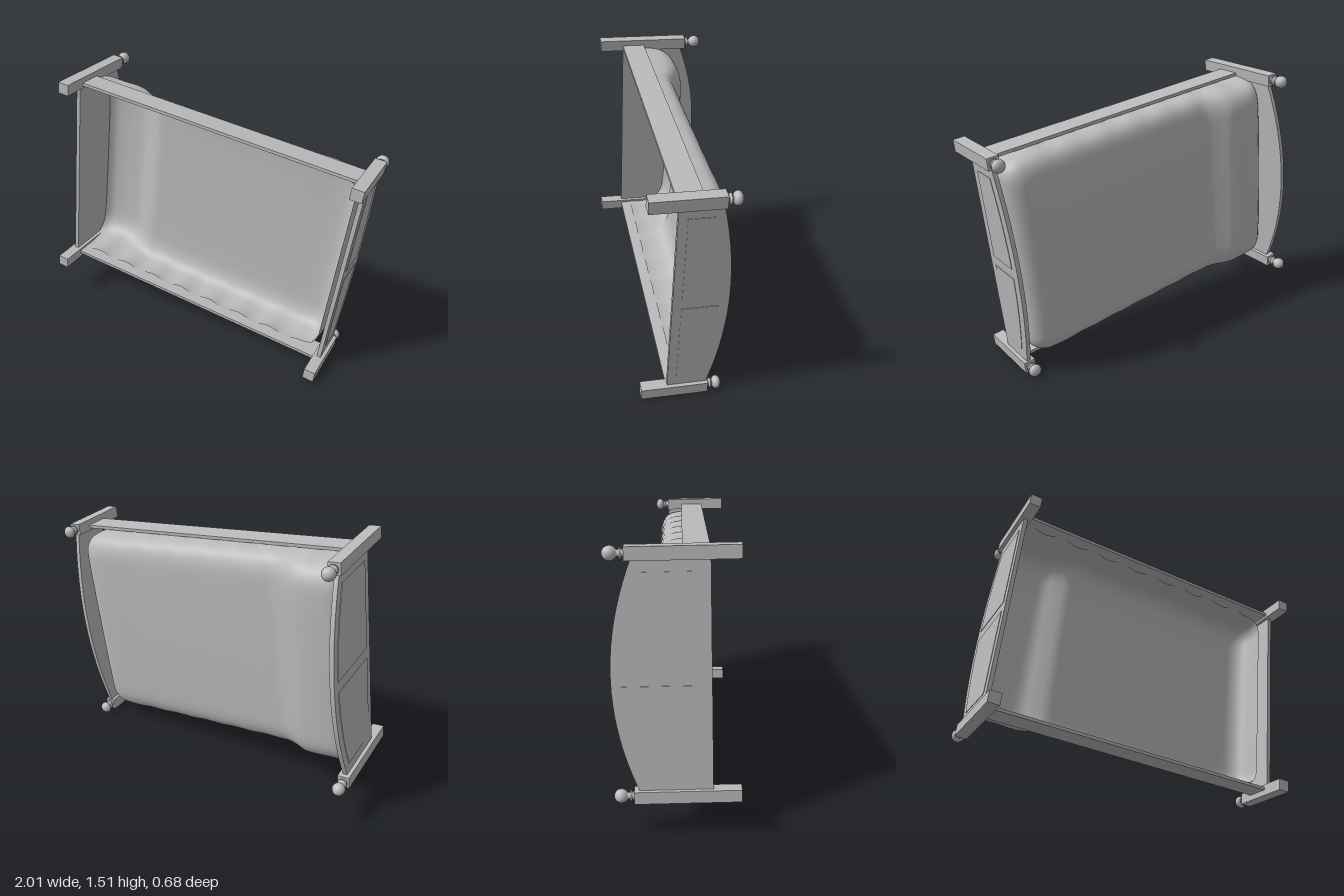
import * as THREE from 'three';

// Bed built in its own frame (x = length towards foot, y = up, z = width), then tipped over.
export function createModel() {
  const model = new THREE.Group();
  model.name = 'bed';
  const grey = new THREE.MeshStandardMaterial({ color: 0xbbbbbb });
  grey.name = 'plain grey';
  const cloth = new THREE.MeshStandardMaterial({ color: 0xbbbbbb, side: THREE.DoubleSide });
  cloth.name = 'cloth grey';

  const bed = new THREE.Group();
  bed.name = 'bedBody';
  model.add(bed);
  const add = (geo, name, x = 0, y = 0, z = 0, mat = grey) => {
    const m = new THREE.Mesh(geo, mat);
    m.name = name;
    m.position.set(x, y, z);
    bed.add(m);
    return m;
  };

  const X = 0.88, Z = 0.62, POST = 0.066;

  // Turned finial: neck, ring and ball
  const finial = (ballY, ry) => {
    const pts = [[0.022, -0.005], [0.022, 0.006], [0.016, 0.01], [0.027, 0.014], [0.027, 0.021], [0.014, 0.026]]
      .map(([r, y]) => new THREE.Vector2(r, y));
    for (let i = 2; i <= 12; i++) {
      const a = -Math.PI / 2 + (i / 12) * Math.PI;
      pts.push(new THREE.Vector2(Math.max(0, 0.036 * Math.cos(a)), ballY + ry * Math.sin(a)));
    }
    return new THREE.LatheGeometry(pts, 20);
  };

  // Posts with finials
  const ends = [
    { name: 'head', x: -X, h: 0.542, ballY: 0.066, ry: 0.036, edge: 0.51, peak: 0.632 },
    { name: 'foot', x: X, h: 0.367, ballY: 0.052, ry: 0.026, edge: 0.355, peak: 0.435 },
  ];
  for (const e of ends) {
    for (const s of [-1, 1]) {
      add(new THREE.BoxGeometry(POST, e.h, POST), e.name + 'Post', e.x, e.h / 2, s * Z);
      add(finial(e.ballY, e.ry), e.name + 'Finial', e.x, e.h, s * Z);
    }
  }

  // Arched slab spanning w0..w1 across the bed
  const archedSlab = (e, w0, w1, bottom, inset, depth) => {
    const shape = new THREE.Shape();
    shape.moveTo(w0, bottom);
    shape.lineTo(w1, bottom);
    for (let i = 0; i <= 20; i++) {
      const w = w1 + ((w0 - w1) * i) / 20;
      shape.lineTo(w, e.edge + (e.peak - e.edge) * (1 - (w / 0.6) ** 2) - inset);
    }
    const g = new THREE.ExtrudeGeometry(shape, { depth, bevelEnabled: false });
    g.translate(0, 0, -depth / 2);
    g.rotateY(-Math.PI / 2);
    return g;
  };

  // Headboard and footboard, each with two thin panels on the outer face
  for (const e of ends) {
    add(archedSlab(e, -0.6, 0.6, 0.143, 0, 0.024), e.name + 'Board', e.x);
    const out = Math.sign(e.x) * 0.0125;
    for (const [a, b] of [[-0.53, -0.03], [0.03, 0.53]])
      add(archedSlab(e, a, b, 0.19, 0.05, 0.004), e.name + 'Panel', e.x + out);
  }

  // Side rails
  for (const s of [-1, 1])
    add(new THREE.BoxGeometry(2 * X - POST, 0.135, 0.018), 'sideRail', 0, 0.2075, s * 0.611);

  // Draped cover: long profile (length, height) crossed with a rounded side fall (width, share of height)
  const HEM = 0.2, TOP = 0.412;
  const along = new THREE.CatmullRomCurve3([
    [-0.862, 0.45], [-0.83, 0.475], [-0.77, 0.487], [-0.7, 0.49], [-0.61, 0.482], [-0.54, 0.445], [-0.47, 0.413],
    [-0.38, 0.41], [-0.1, 0.41], [0.2, 0.412], [0.5, 0.415], [0.7, 0.418], [0.77, 0.408], [0.815, 0.375],
    [0.838, 0.32], [0.84, 0.26], [0.835, HEM],
  ].map(([l, u]) => new THREE.Vector3(l, u, 0)));
  const half = [[0, 1], [0.2, 0.995], [0.38, 0.985], [0.48, 0.96], [0.54, 0.88], [0.58, 0.72], [0.598, 0.45], [0.603, 0.2], [0.6, 0]];
  const across = new THREE.CatmullRomCurve3([
    ...half.slice(1).reverse().map(([w, k]) => new THREE.Vector3(-w, k, 0)),
    ...half.map(([w, k]) => new THREE.Vector3(w, k, 0)),
  ]);
  const NL = 90, NW = 56, LC = 0.72, WC = 0.48, R = 0.12;
  const cover = new THREE.PlaneGeometry(1, 1, NL, NW);
  const pos = cover.attributes.position;
  for (let j = 0; j <= NW; j++) {
    const c = across.getPoint(j / NW);
    for (let i = 0; i <= NL; i++) {
      const p = along.getPointAt(i / NL);
      const k = Math.max(0, c.y);
      let l = p.x, w = c.x;
      const y = HEM + Math.max(0, p.y - HEM) * k;
      // rounded corners at the foot
      const dl = (l - LC) / R, dw = (Math.abs(w) - WC) / R;
      if (dl > 0 && dw > 0) {
        l = LC + R * dl * Math.sqrt(1 - Math.min(1, dw * dw) / 2);
        w = Math.sign(w) * (WC + R * dw * Math.sqrt(1 - Math.min(1, dl * dl) / 2));
      }
      // gentle scallops down the sides
      if (dw > 0) w += Math.sign(w) * 0.009 * (1 - k) * (Math.cos(l * 30) - 1);
      pos.setXYZ(j * (NL + 1) + i, l, y, w);
    }
  }
  cover.computeVertexNormals();
  add(cover, 'cover', 0, 0, 0, cloth);

  // Tip the bed so its top faces the back
  const L = new THREE.Vector3(0.989, -0.114, -0.091).normalize();
  const U = new THREE.Vector3(-0.093, -0.018, -0.9955);
  const W = new THREE.Vector3().crossVectors(L, U).normalize();
  U.crossVectors(W, L);
  bed.quaternion.setFromRotationMatrix(new THREE.Matrix4().makeBasis(L, U, W));
  bed.position.set(0.026, 0.767, 0.2375);
  return model;
}
